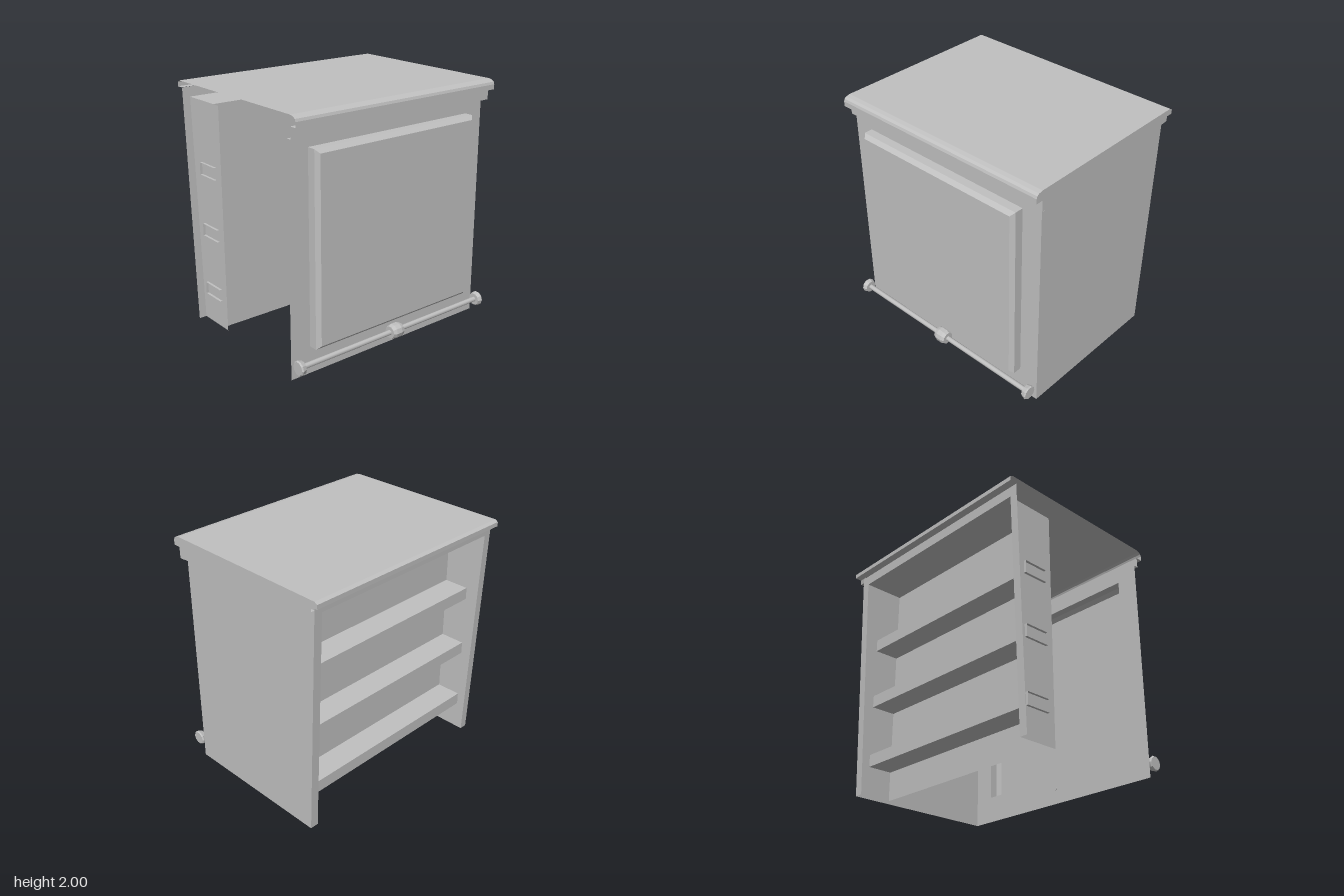
import * as THREE from 'three';

export function createModel() {
  const model = new THREE.Group();
  const grey = new THREE.MeshStandardMaterial({ color: 0xc0c0c0, side: THREE.DoubleSide });
  grey.name = 'light grey';

  const add = (name, geometry) => {
    const mesh = new THREE.Mesh(geometry, grey);
    mesh.name = name;
    model.add(mesh);
    return mesh;
  };

  // Flat faceted skin through successive loops of [x, y, z] points
  const loft = (loops, closed) => {
    const pos = [];
    for (let i = 0; i + 1 < loops.length; i++) {
      const a = loops[i], b = loops[i + 1], n = a.length;
      for (let j = 0; j < (closed ? n : n - 1); j++) {
        const k = (j + 1) % n;
        pos.push(...a[j], ...b[j], ...b[k], ...a[j], ...b[k], ...a[k]);
      }
    }
    const g = new THREE.BufferGeometry();
    g.setAttribute('position', new THREE.Float32BufferAttribute(pos, 3));
    g.computeVertexNormals();
    return g;
  };

  // Sheet with a [z, y] profile, swept along x
  const sheet = (profile, x0, x1) =>
    loft([x0, x1].map(x => profile.map(([z, y]) => [x, y, z])), false);

  // Flat side plate with a [z, y] outline, facing +x
  const sidePlate = (outline, x) => {
    const shape = new THREE.Shape(outline.map(([z, y]) => new THREE.Vector2(-z, y)));
    return new THREE.ShapeGeometry(shape).rotateY(Math.PI / 2).translate(x, 0, 0);
  };

  const LEFT = 0.93, RIGHT = -0.965, EDGE = 0.965;
  const backZ = y => -0.65 - 0.072 * y / 1.91;

  // Front board with the door opening
  const rect = (x0, x1, y0, y1) => [[x0, y0], [x0, y1], [x1, y1], [x1, y0]];
  const vec = pts => pts.map(p => new THREE.Vector2(...p));
  const board = new THREE.Shape(vec(rect(RIGHT, LEFT, 0, 1.83)));
  board.holes.push(new THREE.Path(vec(rect(-0.79, 0.76, 0.22, 1.74))));
  add('frontBoard', new THREE.ShapeGeometry(board).translate(0, 0, 0.65));

  // Raised door: straight rim, bevel and flat face, hollow behind
  const doorLoop = (inset, z) =>
    rect(-0.79 + inset, 0.76 - inset, 0.22 + inset, 1.74 - inset).map(([x, y]) => [x, y, z]);
  add('doorRim', loft([doorLoop(0, 0.65), doorLoop(0, 0.72), doorLoop(0.03, 0.75)], true));
  add('doorFace', new THREE.PlaneGeometry(1.49, 1.46).translate(-0.015, 0.98, 0.75));

  // Single closed side
  add('leftSide', sidePlate([[0.65, 0], [backZ(0), 0], [backZ(1.91), 1.91], [0.65, 1.83]], LEFT));

  // Worktop with rounded front nose and small back lip
  const top = [[0.65, 1.83], [0.69, 1.83], [0.69, 1.92], [0.75, 1.92], [0.75, 1.96],
    [0.743, 1.98], [0.725, 1.993], [0.69, 2], [-0.76, 2], [-0.785, 1.985], [-0.785, 1.95], [-0.73, 1.95]];
  add('worktop', sheet(top, RIGHT, EDGE));
  add('worktopEnd', sidePlate([...top.slice(1), [-0.725, 1.91]], EDGE));
  add('worktopEndUnderside', sheet([[-0.725, 1.91], [0.69, 1.83]], LEFT, EDGE));

  // Rear frame around the open shelf bay
  const bayL = 0.86, bayR = -0.9, bayZ = -0.38, bayTop = 1.87;
  const rear = (y0, y1) => [[backZ(y1), y1], [backZ(y0), y0]];
  add('rearStileLeft', sheet(rear(0, bayTop), bayL, LEFT));
  add('rearStileRight', sheet(rear(0, bayTop), RIGHT, bayR));
  add('rearHeader', sheet(rear(bayTop, 1.95), RIGHT, LEFT));

  // Shelf bay
  const bayOutline = [[-0.31, 0], [backZ(0), 0], [backZ(bayTop), bayTop], [-0.31, bayTop]];
  add('bayWallLeft', sidePlate(bayOutline, bayL));
  add('bayWallRight', sidePlate(bayOutline, bayR));
  add('bayBack', sheet([[bayZ, bayTop], [bayZ, 0]], bayR, bayL));
  add('bayCeiling', sheet([[backZ(bayTop), bayTop], [bayZ, bayTop]], bayR, bayL));
  for (const y of [0.34, 0.855, 1.37]) {
    add('shelf', sheet([[bayZ, y], [-0.59, y], [-0.59, y - 0.1], [bayZ, y - 0.1]], bayR - 0.02, bayL));
  }

  // Front rail with collars and a mounting peg
  const rod = (name, radius, x0, x1) =>
    add(name, new THREE.CylinderGeometry(radius, radius, x1 - x0, 10)
      .rotateZ(Math.PI / 2).translate((x0 + x1) / 2, 0.13, 0.73));
  rod('rail', 0.021, -0.95, 0.915);

  const collar = (name, points) =>
    add(name, new THREE.LatheGeometry(points.map(([r, x]) => new THREE.Vector2(r, x)), 10)
      .toNonIndexed().rotateZ(-Math.PI / 2).translate(0, 0.13, 0.73)).geometry.computeVertexNormals();
  collar('centreCollar', [[0, -0.07], [0.05, -0.07], [0.061, -0.04], [0.061, 0.01], [0.05, 0.04], [0, 0.04]]);
  collar('rightEndCap', [[0, -0.965], [0.053, -0.965], [0.061, -0.955], [0.05, -0.92], [0, -0.92]]);
  collar('leftEndCap', [[0, 0.885], [0.05, 0.885], [0.061, 0.92], [0.053, 0.93], [0, 0.93]]);
  add('railPeg', new THREE.CylinderGeometry(0.015, 0.015, 0.085, 10)
    .rotateX(Math.PI / 2).translate(-0.015, 0.13, 0.688));

  return model;
}
